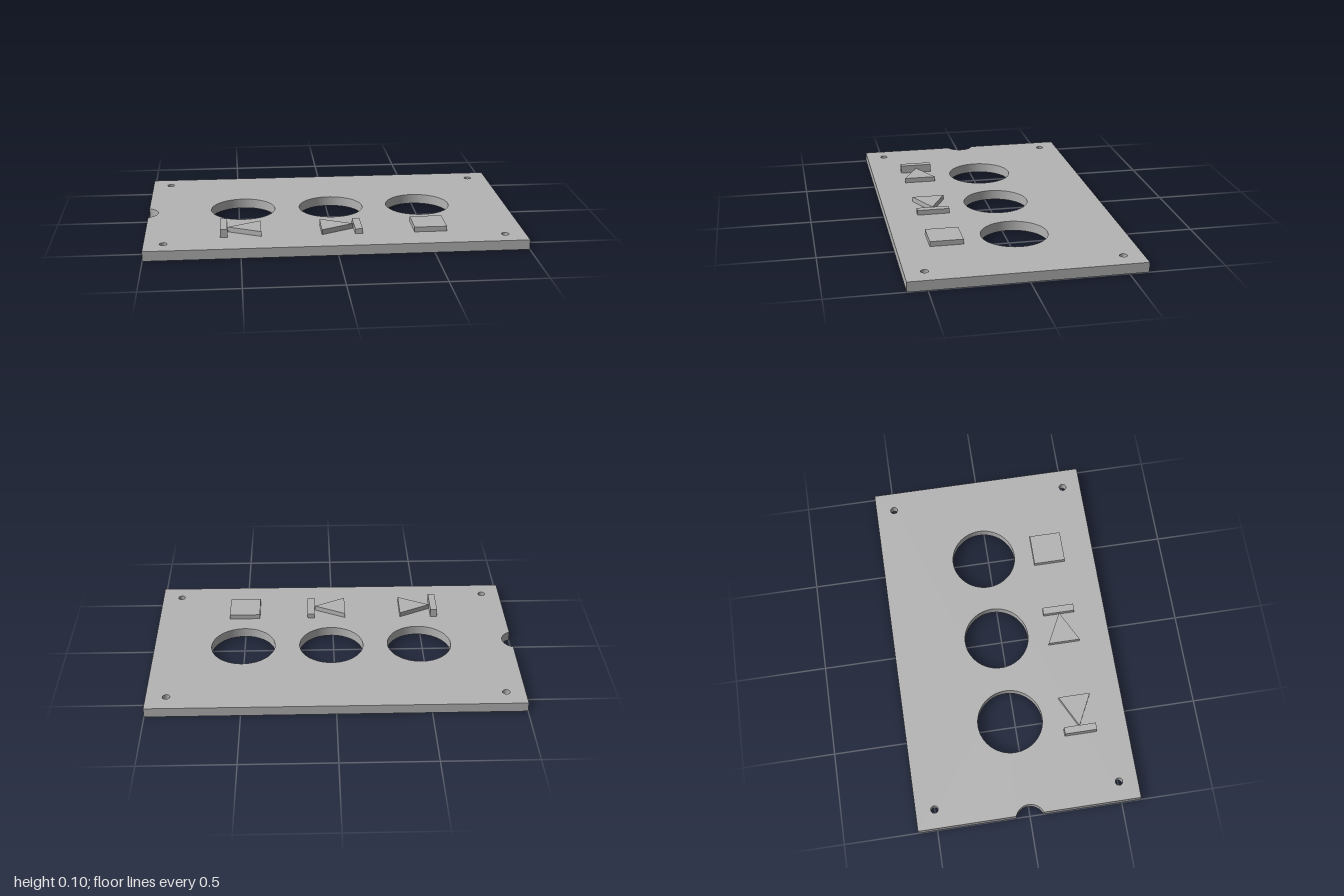
import * as THREE from 'three';

const PLATE_TOP = 0.053;
const ICON_TOP = 0.08;

export function createModel() {
  const group = new THREE.Group();
  const grey = new THREE.MeshStandardMaterial({ color: 0xb4b4b4 });
  grey.name = 'plain grey';

  // Extrude a flat outline, drawn as (x, -z), upward from y0 to y1
  const addSlab = (name, shape, y0, y1) => {
    const geometry = new THREE.ExtrudeGeometry(shape, {
      depth: y1 - y0, bevelEnabled: false, curveSegments: 48,
    });
    geometry.rotateX(-Math.PI / 2);
    const mesh = new THREE.Mesh(geometry, grey);
    mesh.name = name;
    mesh.position.y = y0;
    group.add(mesh);
  };
  const polygon = (points) => new THREE.Shape(points.map(([x, z]) => new THREE.Vector2(x, -z)));
  const rect = (x0, x1, z0, z1) => polygon([[x0, z1], [x1, z1], [x1, z0], [x0, z0]]);

  // Plate outline with a round notch in the -x edge
  const halfDepth = 0.602, notchRadius = 0.079, notchX = -1.026;
  const angle = Math.acos((-1 - notchX) / notchRadius);
  const plate = new THREE.Shape();
  plate.moveTo(-1, -halfDepth);
  plate.lineTo(1, -halfDepth);
  plate.lineTo(1, halfDepth);
  plate.lineTo(-1, halfDepth);
  plate.absarc(notchX, 0, notchRadius, angle, -angle, true);
  plate.closePath();

  // Button openings and corner screw holes
  const addHole = (x, z, radius) => {
    const hole = new THREE.Path();
    hole.absarc(x, -z, radius, 0, Math.PI * 2, true);
    plate.holes.push(hole);
  };
  for (const x of [-0.477, 0.014, 0.505]) addHole(x, -0.027, 0.177);
  for (const x of [-0.897, 0.891]) for (const z of [-0.5, 0.5]) addHole(x, z, 0.02);
  addSlab('plate', plate, 0, PLATE_TOP);

  // Raised symbols in front of the openings
  const back = 0.255, front = 0.43, middle = (back + front) / 2;
  addSlab('previousBar', rect(-0.605, -0.567, back, front), PLATE_TOP, 0.098);
  addSlab('previousArrow', polygon([[-0.565, middle], [-0.39, front], [-0.39, back]]), PLATE_TOP, ICON_TOP);
  addSlab('nextArrow', polygon([[-0.072, front], [0.102, middle], [-0.072, back]]), PLATE_TOP, ICON_TOP);
  addSlab('nextBar', rect(0.104, 0.144, back, front), PLATE_TOP, ICON_TOP);
  addSlab('stopSquare', rect(0.42, 0.593, back, front), PLATE_TOP, ICON_TOP);

  return group;
}
